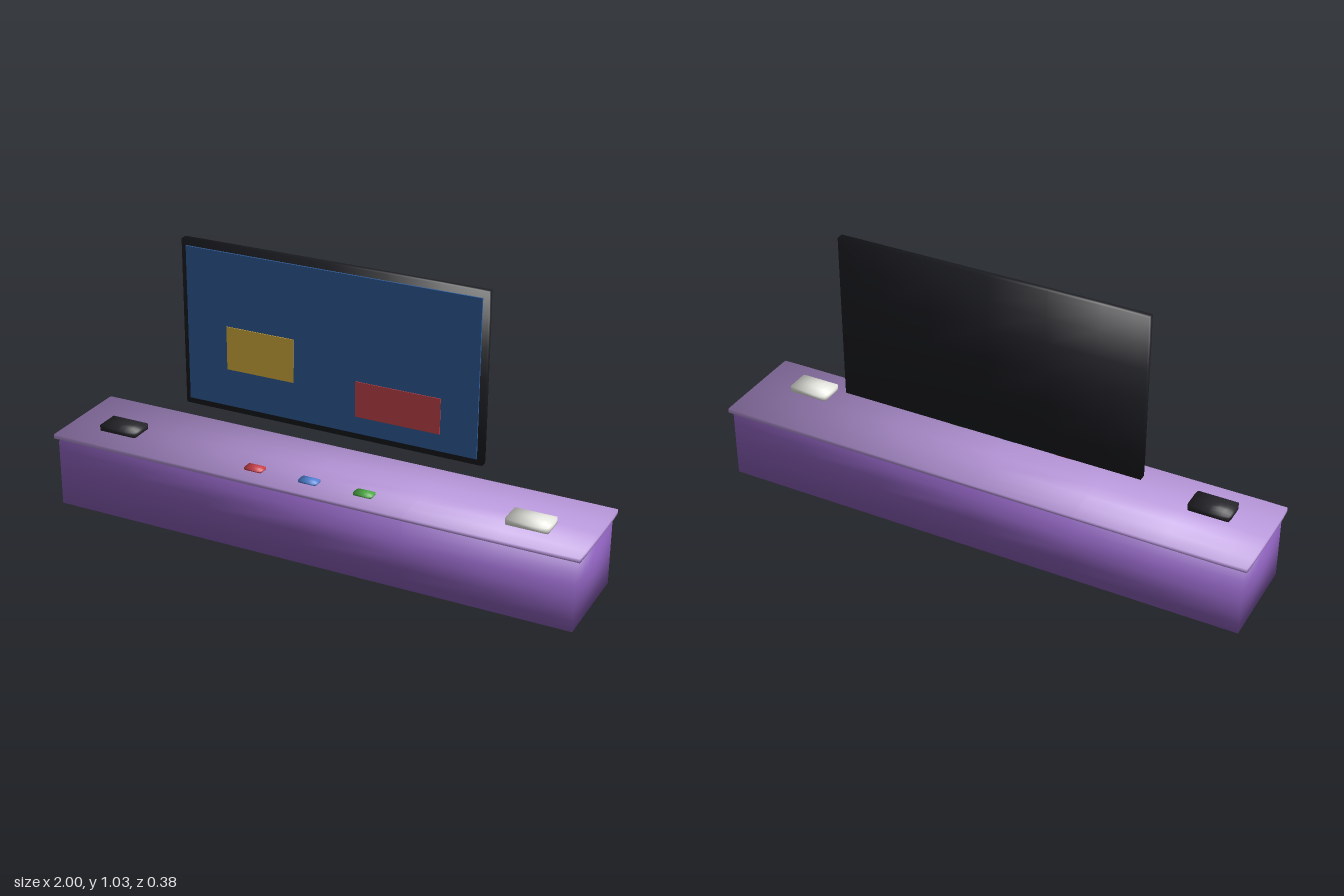
import * as THREE from 'three';

// Soft, slightly pillowed box given by its extents; shading rolls smoothly across every face
function softBox(name, color, [x0, x1], [y0, y1], [z0, z1], inset = 0.004, power = 8) {
  const geo = new THREE.BoxGeometry(2, 2, 2, 8, 8, 8);
  const half = [(x1 - x0) / 2, (y1 - y0) / 2, (z1 - z0) / 2];
  const pos = geo.attributes.position, nor = geo.attributes.normal;
  const n = new THREE.Vector3();
  for (let i = 0; i < pos.count; i++) {
    n.fromBufferAttribute(pos, i);
    // crowd the rows toward the edges, then pull edges and corners in
    const u = n.toArray().map((t) => Math.sin((t * Math.PI) / 2));
    const p = u.map((t, a) => {
      const reach = Math.max(Math.abs(u[(a + 1) % 3]), Math.abs(u[(a + 2) % 3]));
      return t * (half[a] - inset * reach ** power);
    });
    pos.setXYZ(i, ...p);
    n.fromArray(u).normalize();
    nor.setXYZ(i, n.x, n.y, n.z);
  }
  const mesh = new THREE.Mesh(geo, new THREE.MeshStandardMaterial({ color }));
  mesh.name = name;
  mesh.position.set((x0 + x1) / 2, (y0 + y1) / 2, (z0 + z1) / 2);
  return mesh;
}

// Thin flat panel facing +z
function panel(name, color, [x0, x1], [y0, y1], [z0, z1]) {
  const mesh = new THREE.Mesh(
    new THREE.BoxGeometry(x1 - x0, y1 - y0, z1 - z0),
    new THREE.MeshStandardMaterial({ color })
  );
  mesh.name = name;
  mesh.position.set((x0 + x1) / 2, (y0 + y1) / 2, (z0 + z1) / 2);
  return mesh;
}

export function createModel() {
  const model = new THREE.Group();
  model.name = 'mediaConsole';

  // Long cabinet and its overhanging top
  model.add(softBox('cabinet', 0x8a5fb8, [-0.988, 0.988], [0, 0.261], [-0.181, 0.181], 0.005, 2));
  model.add(softBox('cabinetTop', 0xb494d6, [-1, 1], [0.264, 0.287], [-0.191, 0.191], 0.004));

  // Television floating above the cabinet
  const tv = new THREE.Group();
  tv.name = 'television';
  tv.add(softBox('televisionFrame', 0x1c1d22, [-0.57, 0.57], [0.409, 1.03], [-0.067, -0.034], 0.003, 4));
  tv.add(panel('screen', 0x315f9f, [-0.548, 0.548], [0.435, 1.005], [-0.045, -0.0305]));
  tv.add(panel('yellowTile', 0xe0b840, [-0.393, -0.133], [0.575, 0.735], [-0.04, -0.028]));
  tv.add(panel('redTile', 0xcc464c, [0.102, 0.415], [0.498, 0.628], [-0.04, -0.028]));
  model.add(tv);

  // Boxes at either end of the top
  model.add(softBox('blackDevice', 0x26262b, [-0.86, -0.705], [0.287, 0.318], [0.002, 0.102], 0.005, 6));
  model.add(softBox('whiteDevice', 0xe4e4de, [0.702, 0.858], [0.287, 0.318], [0.002, 0.102], 0.005, 6));

  // Row of small coloured pads
  [['redPad', 0xc8404a, -0.21], ['bluePad', 0x4f7fd0, 0], ['greenPad', 0x4ca644, 0.208]].forEach(([name, color, x]) =>
    model.add(softBox(name, color, [x - 0.036, x + 0.036], [0.287, 0.302], [0.09, 0.137], 0.004, 6))
  );

  return model;
}
